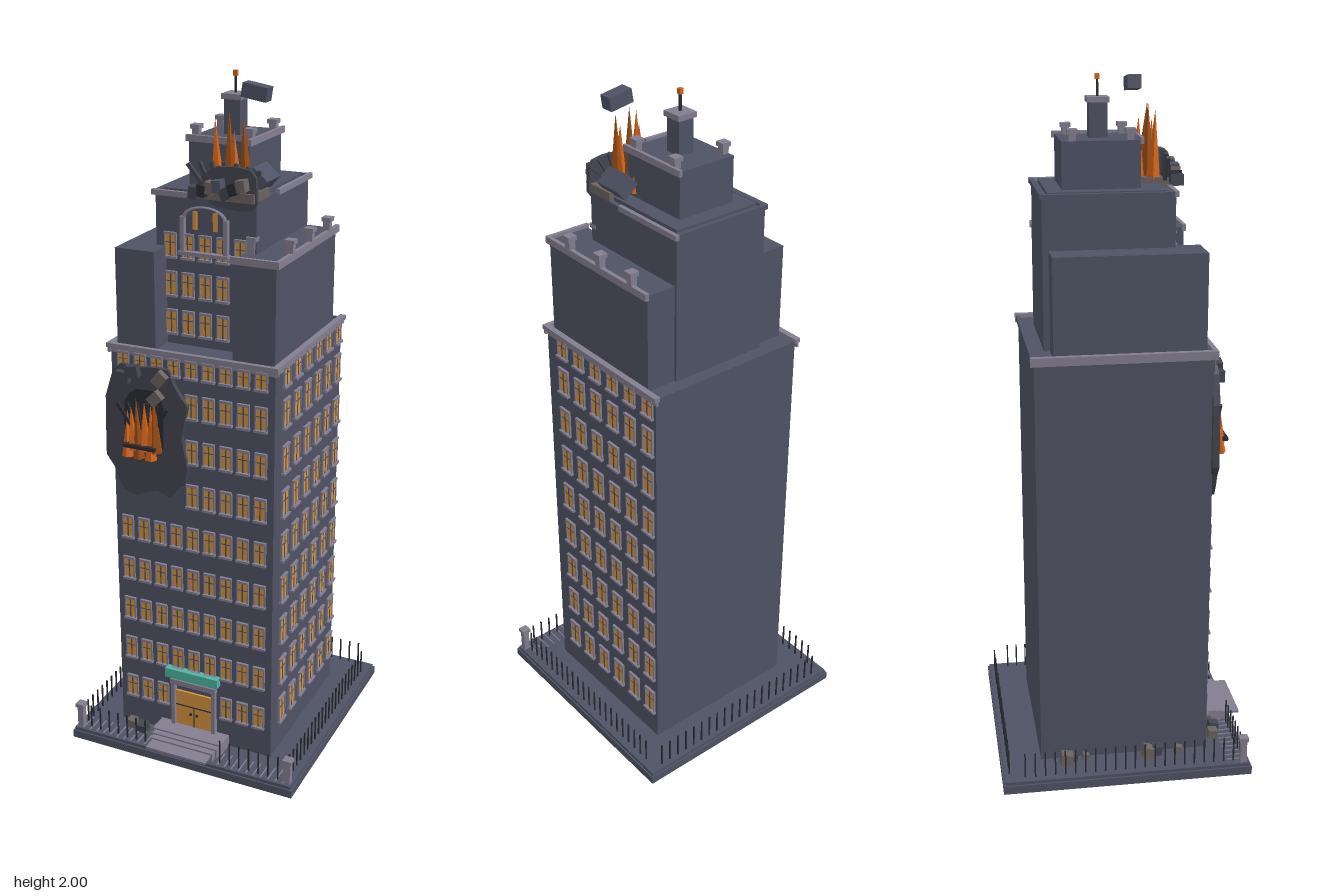
import * as THREE from 'three';

const mat = (name, color) => Object.assign(new THREE.MeshStandardMaterial({ color }), { name });
const M = {
  wall: mat('slate wall', 0x4f5264),
  trim: mat('pale stone trim', 0x837e90),
  iron: mat('dark iron', 0x2b2c34),
  scorch: mat('scorched wall', 0x434551),
  rubble: mat('brown rubble', 0x6b625f),
  glow: mat('lit window', 0xd6953f),
  flame: mat('flame', 0xd5651a),
  ember: mat('ember', 0x9c4d12),
  teal: mat('teal canopy', 0x4fb5a2),
};

let seed = 7;
const rnd = () => (seed = (seed * 16807) % 2147483647) / 2147483647;
const unit = new THREE.BoxGeometry(1, 1, 1);

// Box given by its minimum and maximum corners
function box(parent, name, m, x0, x1, y0, y1, z0, z1) {
  const b = new THREE.Mesh(unit, m);
  b.name = name;
  b.scale.set(x1 - x0, y1 - y0, z1 - z0);
  b.position.set((x0 + x1) / 2, (y0 + y1) / 2, (z0 + z1) / 2);
  parent.add(b);
  return b;
}

// Square pillar with a wider cap
function pillar(parent, name, x, z, y0, y1, w) {
  const h = w / 2;
  box(parent, name, M.trim, x - h * 0.7, x + h * 0.7, y0, y1 - 0.012, z - h * 0.7, z + h * 0.7);
  box(parent, name + 'Cap', M.trim, x - h, x + h, y1 - 0.012, y1, z - h, z + h);
}

// Framed window with two lit panes and a sill, facing local +z
function makeWindow(w, h) {
  const g = new THREE.Group();
  g.name = 'window';
  for (const s of [-1, 1]) {
    box(g, 'jamb', M.trim, s * w / 2 - 0.002, s * w / 2 + 0.002, -h / 2, h / 2, -0.002, 0.006);
    box(g, 'pane', M.glow, s * w * 0.24 - w * 0.18, s * w * 0.24 + w * 0.18, -h * 0.44, h * 0.44, -0.002, 0.004);
  }
  box(g, 'mullion', M.wall, -w * 0.06, w * 0.06, -h / 2, h / 2, -0.002, 0.005);
  box(g, 'transom', M.wall, -w / 2, w / 2, h * 0.1, h * 0.14, -0.002, 0.005);
  box(g, 'lintel', M.trim, -w * 0.55, w * 0.55, h / 2 - 0.003, h / 2 + 0.004, -0.002, 0.008);
  box(g, 'sill', M.trim, -w * 0.6, w * 0.6, -h / 2 - 0.005, -h / 2 + 0.002, -0.002, 0.011);
  return g;
}

// Faceted flame standing on a point
function flame(parent, x, y, z, r, h, m = M.flame, lean = 0) {
  const geo = new THREE.ConeGeometry(r, h, 5).translate(0, h / 2, 0).toNonIndexed();
  geo.computeVertexNormals();
  const f = new THREE.Mesh(geo, m);
  f.name = 'flame';
  f.position.set(x, y, z);
  f.rotation.set(0, x * 40, lean);
  parent.add(f);
}

// Thin jagged plate around a blast hole
function jagged(parent, name, cx, cy, z, rx, ry, n, depth, m) {
  const pts = [];
  for (let i = 0; i < n; i++) {
    const a = i / n * Math.PI * 2, k = 0.86 + rnd() * 0.2;
    const c = Math.cos(a), s = Math.sin(a);
    pts.push(new THREE.Vector2(rx * k * Math.sign(c) * Math.abs(c) ** 0.65, ry * k * Math.sign(s) * Math.abs(s) ** 0.65));
  }
  const p = new THREE.Mesh(new THREE.ExtrudeGeometry(new THREE.Shape(pts), { depth, bevelEnabled: false }), m);
  p.name = name;
  p.position.set(cx, cy, z);
  parent.add(p);
}

export function createModel() {
  const root = new THREE.Group();
  root.name = 'ruinedTower';
  const part = (name) => { const g = new THREE.Group(); g.name = name; root.add(g); return g; };

  // Ground slab and main masses
  const body = part('towerBody');
  box(body, 'groundSlab', M.wall, -0.365, 0.365, 0, 0.025, -0.38, 0.355);
  box(body, 'groundSlabTop', M.wall, -0.36, 0.36, 0.025, 0.035, -0.375, 0.35);
  box(body, 'mainBlock', M.wall, -0.25, 0.25, 0.035, 1.265, -0.26, 0.24);
  box(body, 'leftWing', M.wall, -0.24, -0.12, 1.265, 1.545, -0.205, 0.22);
  box(body, 'rightWing', M.wall, 0.115, 0.24, 1.265, 1.55, -0.215, 0.22);
  box(body, 'middleBlock', M.wall, -0.15, 0.15, 1.265, 1.69, -0.222, 0.145);
  box(body, 'middleRoof', M.wall, -0.135, 0.135, 1.69, 1.7, -0.205, 0.12);
  box(body, 'upperBlock', M.wall, -0.09, 0.09, 1.69, 1.83, -0.16, 0.058);
  box(body, 'chimney', M.wall, -0.024, 0.024, 1.83, 1.925, -0.075, -0.025);

  // Cornices and parapets
  const trim = part('cornices');
  for (const [y, o] of [[1.25, 0], [1.263, 0.006]]) {
    for (const s of [-1, 1]) box(trim, 'mainSideCornice', M.trim, s * 0.252 - 0.003 - o, s * 0.252 + 0.003 + o, y, y + 0.013, -0.27, 0.25);
    box(trim, 'mainFrontCornice', M.trim, -0.26, 0.26, y, y + 0.013, 0.236, 0.244 + o);
  }
  box(trim, 'mainBackCornice', M.wall, -0.25, 0.25, 1.255, 1.27, -0.267, -0.258);
  box(trim, 'wingSideParapet', M.trim, 0.238, 0.25, 1.54, 1.56, -0.22, 0.226);
  box(trim, 'wingFrontParapet', M.trim, 0.11, 0.25, 1.54, 1.56, 0.215, 0.226);
  box(trim, 'middleFrontParapet', M.trim, -0.16, -0.04, 1.685, 1.7, 0.14, 0.152);
  box(trim, 'middleSideParapet', M.trim, 0.148, 0.16, 1.685, 1.7, -0.23, 0.01);
  box(trim, 'middleBackParapet', M.wall, -0.155, 0.15, 1.685, 1.698, -0.228, -0.215);
  box(trim, 'middleLeftParapet', M.wall, -0.157, -0.14, 1.685, 1.698, -0.225, 0.145);
  box(trim, 'upperSideParapet', M.trim, 0.088, 0.098, 1.82, 1.838, -0.168, 0.066);
  box(trim, 'upperFrontParapet', M.trim, -0.097, 0.03, 1.82, 1.838, 0.056, 0.066);
  for (const [x, z] of [[0.24, -0.15], [0.24, -0.015], [0.24, 0.122], [0.137, 0.14]]) pillar(trim, 'wingPillar', x, z, 1.55, 1.597, 0.028);
  for (const x of [-0.08, 0.08]) for (const z of [-0.13, 0.03]) pillar(trim, 'upperPillar', x, z, 1.83, 1.862, 0.028);
  box(trim, 'chimneyCap', M.trim, -0.03, 0.03, 1.925, 1.94, -0.081, -0.02);
  box(trim, 'mast', M.iron, -0.003, 0.003, 1.94, 1.985, -0.053, -0.047);
  box(trim, 'beacon', M.flame, -0.006, 0.006, 1.985, 2, -0.056, -0.044);

  // Windows on the front, the right side and the recessed upper front
  const windows = part('windows');
  const put = (w, h, x, y, z, turn) => {
    const g = makeWindow(w, h);
    g.position.set(x, y, z);
    g.rotation.y = turn;
    windows.add(g);
  };
  for (let r = 0; r < 9; r++) {
    const y = r === 8 ? 1.23 : 0.165 + r * 0.1365, h = r === 8 ? 0.055 : 0.078;
    for (let c = -4; c <= 4; c++) {
      const x = c * 0.0527;
      if ((r === 0 && Math.abs(c) < 2) || (x < -0.02 && y > 0.84 && y < 1.22)) continue;
      put(0.033, h * 0.85, x, y, 0.24, 0);
    }
    for (let c = 0; c < 6; c++) put(0.042, h, 0.25, y, 0.165 - c * 0.0785, Math.PI / 2);
  }
  for (const y of [1.33, 1.44, 1.55]) for (let c = -2; c <= 2; c++) put(0.033, 0.065, c * 0.0527, y, 0.145, 0);

  // Arched crest over the recessed front
  const crest = part('archedCrest');
  for (const s of [-1, 1]) box(crest, 'crestPost', M.trim, s * 0.065 - 0.006, s * 0.065 + 0.006, 1.535, 1.635, 0.144, 0.16);
  box(crest, 'crestSill', M.trim, -0.075, 0.075, 1.53, 1.54, 0.144, 0.165);
  const arch = new THREE.Mesh(new THREE.TorusGeometry(0.062, 0.006, 6, 16, Math.PI), M.trim);
  arch.name = 'crestArch';
  arch.scale.y = 0.55;
  arch.position.set(0, 1.63, 0.152);
  crest.add(arch);
  for (const x of [-0.03, 0.03]) box(crest, 'crestPane', M.glow, x - 0.006, x + 0.006, 1.6, 1.65, 0.144, 0.15);

  // Entrance with doors, surround, canopy and steps
  const entry = part('entrance');
  box(entry, 'doors', M.glow, -0.06, 0.06, 0.07, 0.19, 0.24, 0.247);
  box(entry, 'doorSplit', M.iron, -0.0015, 0.0015, 0.07, 0.14, 0.24, 0.249);
  box(entry, 'doorRail', M.iron, -0.06, 0.06, 0.14, 0.143, 0.24, 0.249);
  for (const x of [-0.01, 0.01]) box(entry, 'doorHandle', M.iron, x - 0.003, x + 0.003, 0.112, 0.12, 0.24, 0.251);
  for (const s of [-1, 1]) box(entry, 'doorPilaster', M.trim, s * 0.067 - 0.006, s * 0.067 + 0.006, 0.05, 0.225, 0.24, 0.256);
  box(entry, 'doorLintel', M.trim, -0.075, 0.075, 0.215, 0.232, 0.24, 0.258);
  box(entry, 'canopy', M.teal, -0.088, 0.085, 0.24, 0.27, 0.24, 0.264);
  for (let i = 0; i < 4; i++) {
    const w = 0.113 - i * 0.005, y = 0.072 - i * 0.005;
    box(entry, 'step', M.trim, -w, w, i === 3 ? 0.05 : 0.03, y, 0.24, [0.3, 0.318, 0.336, 0.378][i]);
  }

  // Iron fence, corner pillars and forecourt strips
  const fence = part('fence');
  const picket = (x, z) => box(fence, 'picket', M.iron, x - 0.002, x + 0.002, 0.035, 0.112, z - 0.002, z + 0.002);
  for (let i = 0; i < 21; i++) {
    const x = -0.312 + i * 0.0312;
    picket(x, -0.36);
    if (Math.abs(x) > 0.12) picket(x, 0.33);
  }
  for (let i = 0; i < 22; i++) for (const x of [-0.338, 0.338]) picket(x, -0.315 + i * 0.0295);
  for (const s of [-1, 1]) {
    pillar(fence, 'gatePillar', s * 0.345, 0.332, 0.035, 0.116, 0.027);
    for (let i = 0; i < 10; i++) {
      const x = s * (0.122 + i * 0.0235);
      box(fence, 'forecourtStrip', M.trim, x - 0.0015, x + 0.0015, 0.034, 0.038, 0.285, 0.346);
    }
  }

  // Blast hole on the lower front
  const blast = part('frontBlast');
  jagged(blast, 'blastPlate', -0.138, 1.03, 0.236, 0.13, 0.205, 22, 0.02, M.scorch);
  jagged(blast, 'blastCore', -0.138, 1.05, 0.256, 0.065, 0.11, 14, 0.004, M.iron);
  for (let i = 0; i < 6; i++) {
    const x = -0.185 + i * 0.018;
    flame(blast, x, 0.955 + (i % 2) * 0.025, 0.275, 0.018, 0.1 + rnd() * 0.09, i % 3 === 2 ? M.ember : M.flame, 0.12 - i * 0.04);
    const beam = box(blast, 'brokenBeam', M.iron, x - 0.004, x + 0.004, 0.99, 1.12, 0.262, 0.27);
    beam.rotation.z = 0.6 - i * 0.22;
  }
  box(blast, 'hangingSlab', M.iron, -0.19, -0.09, 0.99, 1.0, 0.256, 0.298);
  for (const [x, y] of [[-0.2, 1.19], [-0.17, 1.21], [-0.1, 1.14], [-0.085, 1.2]]) {
    box(blast, 'chunk', x < -0.15 ? M.scorch : M.rubble, x - 0.016, x + 0.016, y - 0.02, y + 0.02, 0.25, 0.277).rotation.z = x * 8;
  }

  // Burning broken corner near the top
  const crown = part('burningCrown');
  box(crown, 'scorchedFloor', M.rubble, 0, 0.15, 1.69, 1.715, 0.06, 0.165);
  jagged(crown, 'crackedWall', 0.08, 1.725, 0.145, 0.085, 0.06, 13, 0.012, M.scorch);
  const fires = [[0.02, 0.11, 0.19], [0.05, 0.1, 0.21], [0.075, 0.115, 0.16], [0.04, 0.07, 0.17], [0.1, 0.095, 0.2], [0.08, 0.035, 0.12]];
  fires.forEach(([x, z, h], i) => flame(crown, x, 1.71, z, 0.021, h, i % 3 === 1 ? M.ember : M.flame, (0.05 - x) * 1.2));
  for (let i = 0; i < 7; i++) {
    const x = -0.018 + i * 0.023, y = 1.7 + rnd() * 0.06;
    const m = [M.scorch, M.iron, M.rubble, M.wall][i % 4];
    box(crown, 'chunk', m, x - 0.013, x + 0.013, y - 0.016, y + 0.016, 0.153, 0.189).rotation.z = rnd() - 0.5;
    box(crown, 'brokenBeam', M.scorch, x - 0.005, x + 0.005, 1.68, 1.79, 0.135, 0.146).rotation.z = 0.7 - i * 0.25;
  }
  box(crown, 'leaningSlab', M.wall, 0.1, 0.155, 1.72, 1.76, 0.01, 0.1).rotation.z = -0.7;
  box(crown, 'flyingBlock', M.wall, 0.078, 0.15, 1.947, 1.985, 0.047, 0.086).rotation.z = -0.16;

  // Fallen rubble on the ground
  const debris = part('groundRubble');
  const heaps = [[-0.28, -0.187, 0.034], [-0.267, -0.165, 0.022], [-0.268, -0.13, 0.018], [-0.278, 0.058, 0.034],
    [-0.268, 0.085, 0.03], [-0.272, 0.15, 0.022], [-0.2, 0.27, 0.028], [-0.16, 0.28, 0.03], [-0.11, 0.27, 0.026]];
  heaps.forEach(([x, z, s], i) => {
    const m = i % 3 === 1 ? M.scorch : M.rubble;
    box(debris, 'rubble', m, x - s / 2, x + s / 2, 0.033, 0.04 + s * 0.8, z - s / 2, z + s / 2).rotation.x = rnd() * 0.3;
  });
  return root;
}
